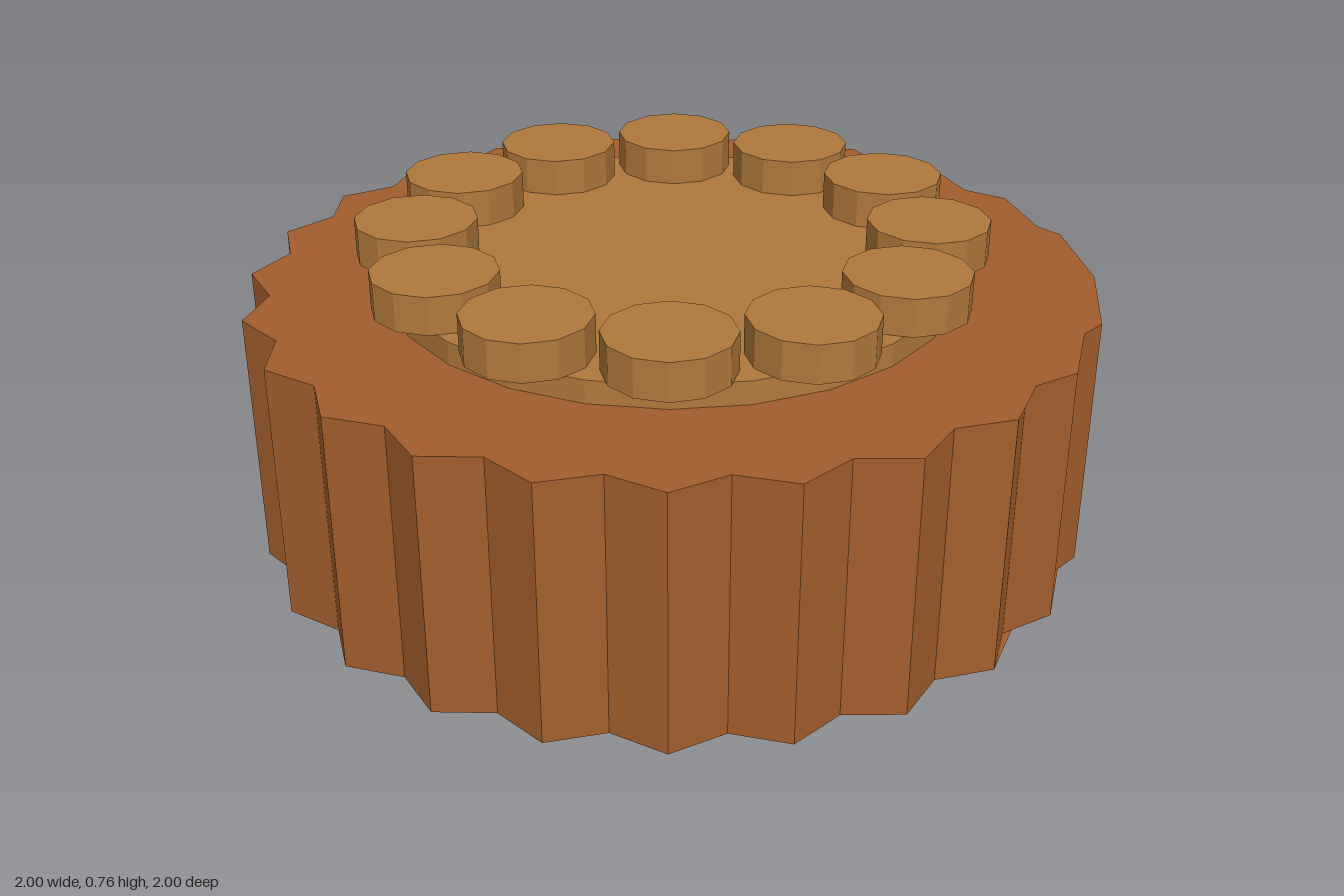
import * as THREE from 'three';

const TEETH = 24;
const BODY_HEIGHT = 0.62;

const bodyBrown = new THREE.MeshStandardMaterial({ color: 0xa35e2d, flatShading: true, side: THREE.DoubleSide });
bodyBrown.name = 'russet brown';
const topTan = new THREE.MeshStandardMaterial({ color: 0xb07a3c, flatShading: true });
topTan.name = 'golden tan';

// Fluted drum: alternating ridge and groove points, both caps fanned from the +x ridge
function flutedDrum(outer, inner, height) {
  const n = TEETH * 2;
  const point = (i, y) => {
    const a = (i / n) * Math.PI * 2;
    const r = i % 2 ? inner : outer;
    return [r * Math.cos(a), y, r * Math.sin(a)];
  };
  const pos = [];
  const tri = (a, b, c) => pos.push(...a, ...b, ...c);
  for (let i = 0; i < n; i++) {
    const j = (i + 1) % n;
    tri(point(i, 0), point(i, height), point(j, height));
    tri(point(i, 0), point(j, height), point(j, 0));
  }
  for (let i = 1; i < n - 1; i++) {
    tri(point(0, height), point(i + 1, height), point(i, height));
    tri(point(0, 0), point(i, 0), point(i + 1, 0));
  }
  const g = new THREE.BufferGeometry();
  g.setAttribute('position', new THREE.Float32BufferAttribute(pos, 3));
  g.computeVertexNormals();
  return g;
}

// Upright disc resting at a given height
function disc(name, radius, bottom, top, sides) {
  const mesh = new THREE.Mesh(new THREE.CylinderGeometry(radius, radius, top - bottom, sides), topTan);
  mesh.position.y = (bottom + top) / 2;
  mesh.name = name;
  return mesh;
}

export function createModel() {
  const model = new THREE.Group();
  model.name = 'flutedTart';

  const body = new THREE.Mesh(flutedDrum(1, 0.94, BODY_HEIGHT), bodyBrown);
  body.name = 'flutedBody';
  model.add(body);

  model.add(disc('topPlate', 0.67, BODY_HEIGHT, 0.675, 24));

  // Ring of twelve round studs
  const studs = new THREE.Group();
  studs.name = 'studRing';
  for (let i = 0; i < 12; i++) {
    const a = (i / 12) * Math.PI * 2;
    const stud = disc('stud', 0.145, 0.675, 0.765, 12);
    stud.position.x = 0.6 * Math.cos(a);
    stud.position.z = 0.6 * Math.sin(a);
    studs.add(stud);
  }
  model.add(studs);
  return model;
}
